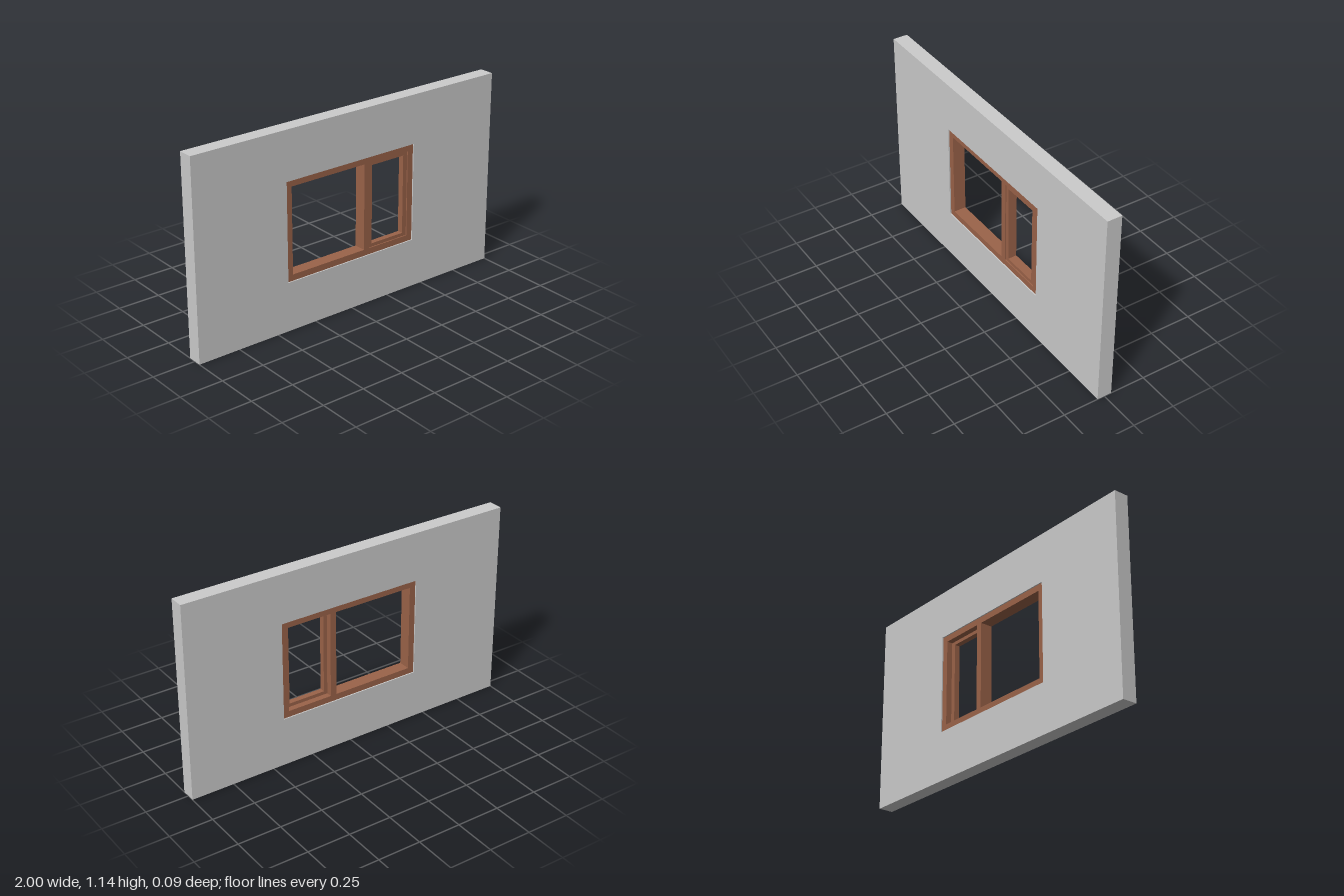
import * as THREE from 'three';

const grey = new THREE.MeshStandardMaterial({ color: 0xcccccc });
const wood = new THREE.MeshStandardMaterial({ color: 0x9b6349 });

function rect(PathType, [x0, x1, y0, y1]) {
  return new PathType([[x0, y0], [x1, y0], [x1, y1], [x0, y1]].map(p => new THREE.Vector2(...p)));
}

// Rectangular panel with rectangular holes, spanning z0..z1
function panel(name, outer, holes, z0, z1, material) {
  const shape = rect(THREE.Shape, outer);
  shape.holes = holes.map(h => rect(THREE.Path, h));
  const geometry = new THREE.ExtrudeGeometry(shape, { depth: z1 - z0, bevelEnabled: false });
  geometry.translate(0, 0, z0);
  const mesh = new THREE.Mesh(geometry, material);
  mesh.name = name;
  return mesh;
}

export function createModel() {
  const group = new THREE.Group();
  group.name = 'wallWithWindow';

  const opening = [-0.429, 0.429, 0.286, 0.859];
  const fixedLight = [-0.393, 0.089, 0.322, 0.823];
  const sashLight = [0.125, 0.393, 0.322, 0.823];
  const sashInner = [0.147, 0.366, 0.342, 0.803];

  // Wall with its window opening
  group.add(panel('wall', [-1, 1, 0, 1.143], [opening], -0.043, 0.043, grey));
  // Frame and mullion, set slightly back from both wall faces
  group.add(panel('windowFrame', opening, [fixedLight, sashLight], -0.036, 0.036, wood));
  // Thinner sash towards the front of the narrow light
  group.add(panel('sash', sashLight, [sashInner], -0.002, 0.03, wood));

  return group;
}
